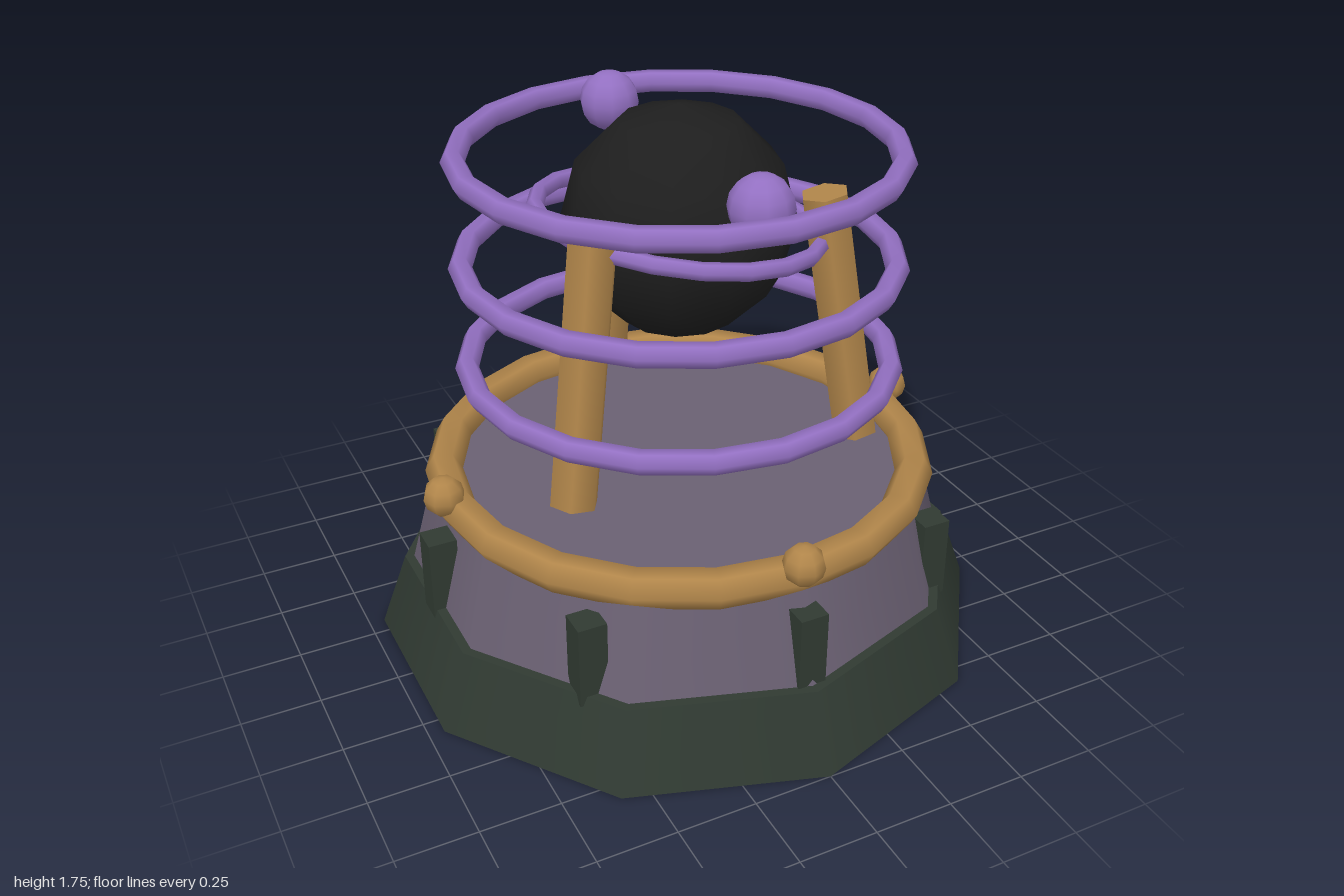
import * as THREE from 'three';

const mat = (name, color) => {
  const m = new THREE.MeshStandardMaterial({ color });
  m.name = name;
  return m;
};

export function createModel() {
  const model = new THREE.Group();
  const green = mat('dark green', 0x303a32);
  const stone = mat('grey purple', 0x6a6072);
  const gold = mat('bronze', 0xb0854a);
  const violet = mat('violet', 0x9370c2);
  const black = mat('black', 0x1e1e1e);

  const add = (name, geometry, material, x = 0, y = 0, z = 0, parent = model) => {
    const mesh = new THREE.Mesh(geometry, material);
    mesh.name = name;
    mesh.position.set(x, y, z);
    parent.add(mesh);
    return mesh;
  };
  // Horizontal ring with a six-sided section
  const ring = (name, radius, tube, material, y) => {
    const g = new THREE.TorusGeometry(radius, tube, 6, 20);
    g.rotateX(-Math.PI / 2);
    return add(name, g, material, 0, y, 0);
  };

  // Ten-sided base and drum
  add('base', new THREE.CylinderGeometry(0.91, 1, 0.25, 10), green, 0, 0.125, 0);
  add('drum', new THREE.CylinderGeometry(0.8, 0.88, 0.3, 10), stone, 0, 0.4, 0);

  // Eight square posts around the drum, all facing the same way
  const post = new THREE.BoxGeometry(0.09, 0.27, 0.09);
  for (let i = 0; i < 8; i++) {
    const a = (i * Math.PI) / 4;
    add('basePost', post, green, Math.sin(a) * 0.83, 0.355, Math.cos(a) * 0.83);
  }

  // Rim with four beads
  ring('rim', 0.76, 0.06, gold, 0.573);
  const bead = new THREE.SphereGeometry(0.065, 8, 6);
  for (let i = 0; i < 4; i++) {
    const a = (i * Math.PI) / 2;
    add('rimBead', bead, gold, Math.sin(a) * 0.8, 0.63, Math.cos(a) * 0.8);
  }

  // Three leaning six-sided pillars
  const pillar = new THREE.CylinderGeometry(0.076, 0.076, 0.82, 6);
  for (let i = 0; i < 3; i++) {
    const arm = new THREE.Group();
    arm.name = 'pillarArm';
    arm.rotation.y = Math.PI / 2 + (i * Math.PI * 2) / 3;
    add('pillar', pillar, gold, 0.5, 1.083, 0, arm).rotation.z = 0.16;
    model.add(arm);
  }

  // Floating orb and its tilted ring
  add('orb', new THREE.SphereGeometry(0.36, 12, 6), black, 0, 1.395, 0);
  ring('orbRing', 0.437, 0.027, violet, 1.395).rotation.z = -0.155;

  // Three level rings and two small globes
  for (const y of [0.935, 1.273, 1.611]) ring('levelRing', 0.664, 0.037, violet, y);
  const globe = new THREE.SphereGeometry(0.096, 10, 8);
  for (const s of [-1, 1]) add('globe', globe, violet, 0, 1.615, s * 0.5);

  return model;
}
